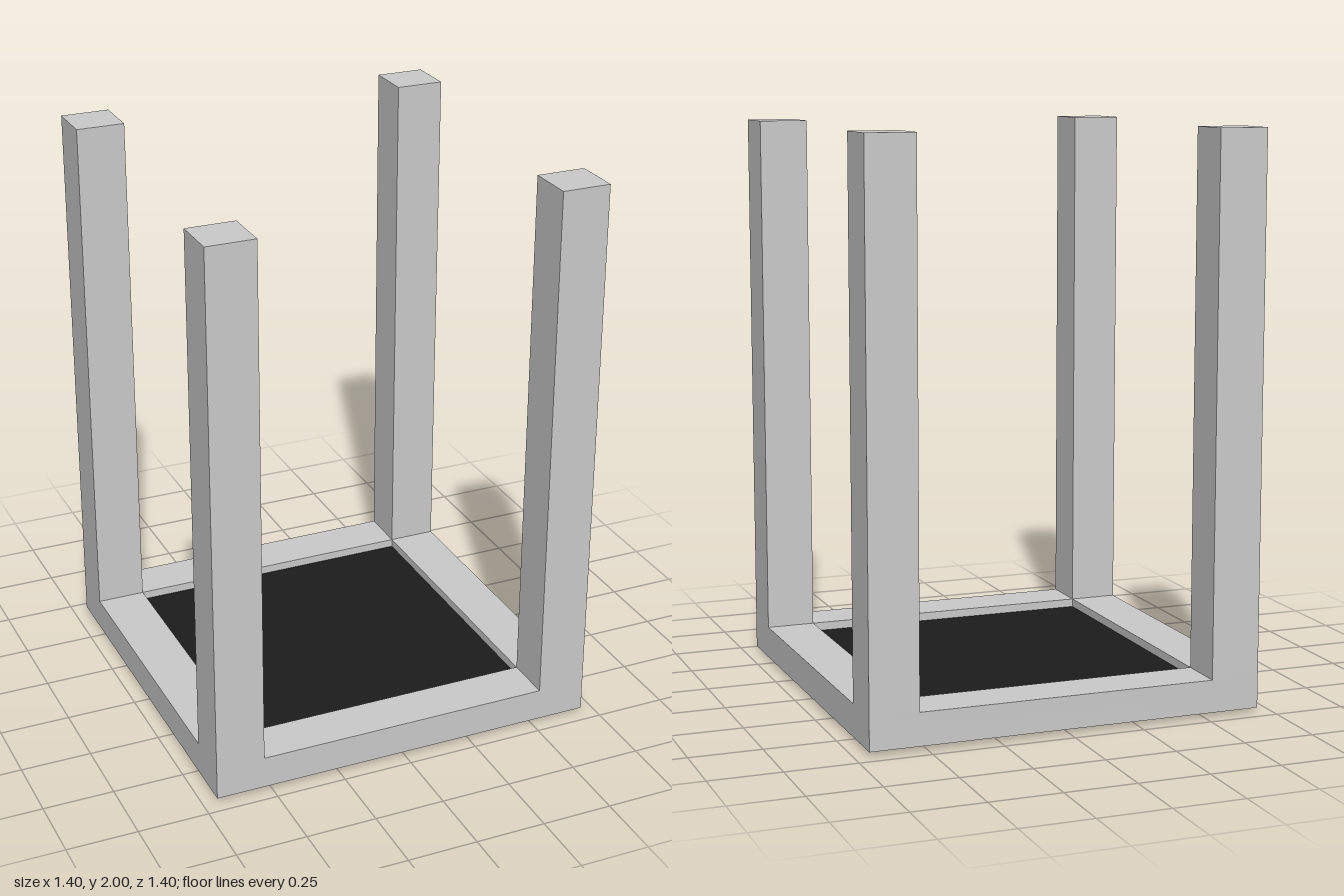
import * as THREE from 'three';

const OUTER = 0.7, INNER = 0.527; // half widths of the frame and its opening
const BASE_Y = 0.015, RAIL_TOP = 0.13, PANEL_TOP = 0.1, TOP = 2;

function squarePath(path, h) {
  path.moveTo(-h, -h);
  path.lineTo(h, -h);
  path.lineTo(h, h);
  path.lineTo(-h, h);
  path.closePath();
  return path;
}

export function createModel() {
  const model = new THREE.Group();
  model.name = 'invertedTable';
  const grey = new THREE.MeshStandardMaterial({ color: 0xcccccc });
  const black = new THREE.MeshStandardMaterial({ color: 0x1c1c1c });

  const add = (name, geometry, material, x, y, z) => {
    const mesh = new THREE.Mesh(geometry, material);
    mesh.name = name;
    mesh.position.set(x, y, z);
    model.add(mesh);
  };

  // Square frame with an open middle
  const outline = squarePath(new THREE.Shape(), OUTER);
  outline.holes.push(squarePath(new THREE.Path(), INNER));
  const frame = new THREE.ExtrudeGeometry(outline, { depth: RAIL_TOP - BASE_Y, bevelEnabled: false });
  frame.rotateX(-Math.PI / 2);
  add('frame', frame, grey, 0, BASE_Y, 0);

  // Dark panel filling the frame, slightly proud underneath
  add('panel', new THREE.BoxGeometry(2 * INNER, PANEL_TOP, 2 * INNER), black, 0, PANEL_TOP / 2, 0);

  // Four upright legs on the corners
  const width = OUTER - INNER, mid = (OUTER + INNER) / 2;
  const leg = new THREE.BoxGeometry(width, TOP - RAIL_TOP, width);
  for (const [sx, side] of [[1, 'Left'], [-1, 'Right']]) {
    for (const [sz, end] of [[1, 'front'], [-1, 'back']]) {
      add(`${end}${side}Leg`, leg, grey, sx * mid, (TOP + RAIL_TOP) / 2, sz * mid);
    }
  }
  return model;
}
